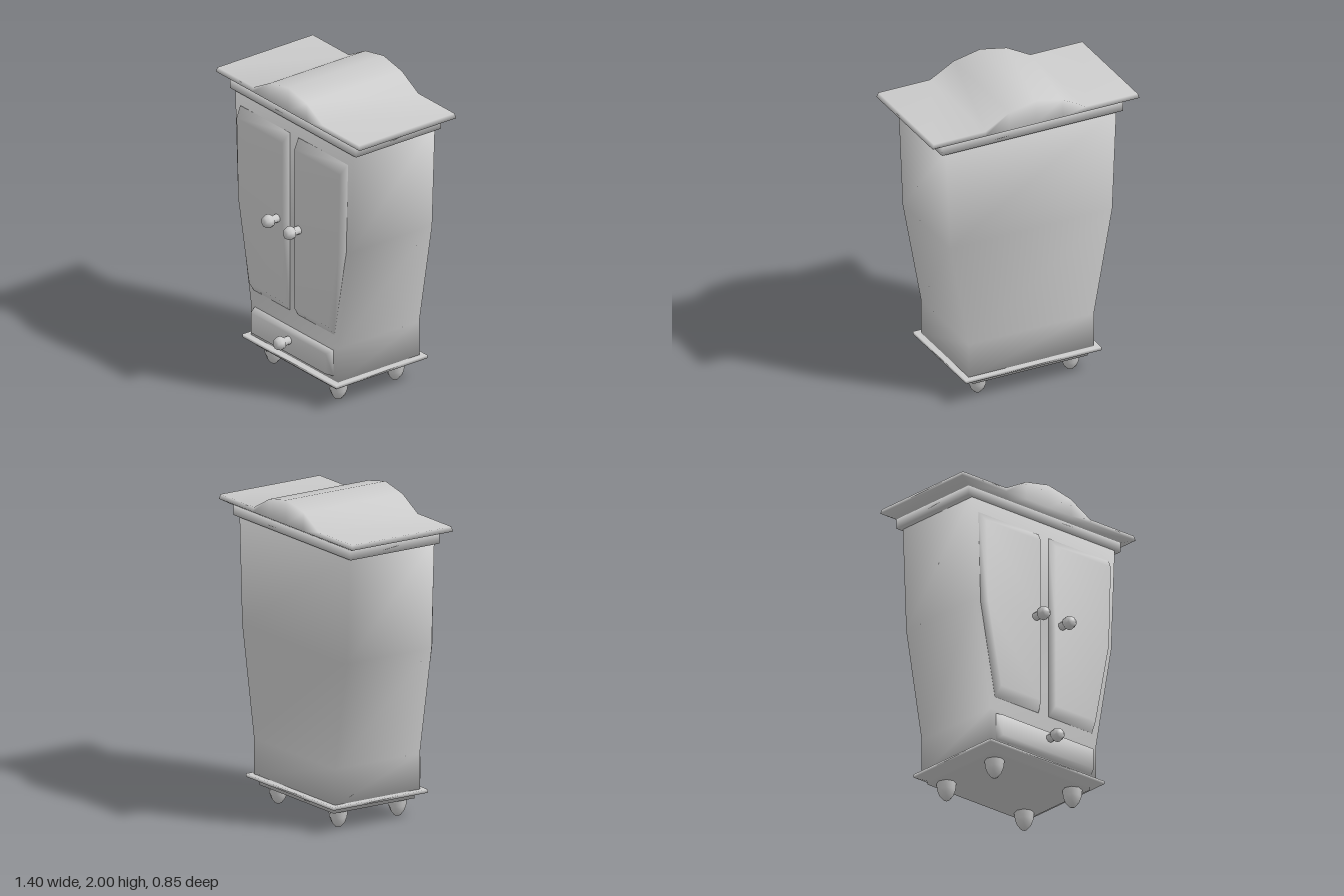
import * as THREE from 'three';

const material = new THREE.MeshStandardMaterial({ color: 0xcccccc });

// Skin a stack of matching loops (counter-clockwise seen from the last one) and cap both ends.
function loft(rings) {
  const n = rings[0].length, last = (rings.length - 1) * n, index = [];
  const quad = (a, b, c, d) => index.push(a, b, c, a, c, d);
  for (let k = 0; k < rings.length - 1; k++) {
    for (let i = 0; i < n; i++) {
      const j = (i + 1) % n, o = k * n;
      quad(o + i, o + j, o + n + j, o + n + i);
    }
  }
  for (let i = 0; i < n / 2 - 1; i++) {
    const p = [i, i + 1, n - 2 - i, n - 1 - i];
    quad(p[3], p[2], p[1], p[0]);
    quad(...p.map(v => v + last));
  }
  const g = new THREE.BufferGeometry();
  g.setAttribute('position', new THREE.Float32BufferAttribute(rings.flat(2), 3));
  g.setIndex(index);
  g.computeVertexNormals();
  return g;
}

// Horizontal rectangle: half width, height, front z, back z.
const rect = ([w, y, f, b]) => [[-w, y, f], [w, y, f], [w, y, b], [-w, y, b]];

export function createModel() {
  const model = new THREE.Group();
  const add = (name, geometry, x = 0, y = 0, z = 0) => {
    const mesh = new THREE.Mesh(geometry, material);
    mesh.name = name;
    mesh.position.set(x, y, z);
    model.add(mesh);
    return mesh;
  };

  // Cabinet body, flaring towards the top
  add('body', loft([
    [0.425, 0.17, 0.265, -0.36], [0.425, 0.4, 0.265, -0.36],
    [0.55, 1.09, 0.265, -0.36], [0.578, 1.77, 0.265, -0.36],
  ].map(rect)));

  // Base plinth with a projecting lip
  add('plinth', loft([
    [0.39, 0.112, 0.25, -0.345], [0.39, 0.135, 0.25, -0.345],
    [0.46, 0.155, 0.302, -0.395], [0.46, 0.175, 0.302, -0.395],
  ].map(rect)));

  // Cornice moulding under the crown
  add('cornice', loft([
    [0.615, 1.757, 0.275, -0.378], [0.615, 1.825, 0.275, -0.378],
  ].map(rect)));

  // Crown with a wave-shaped top
  const wave = [[-0.692, 1.876], [-0.34, 1.876], [-0.18, 1.964], [0, 2],
    [0.18, 1.964], [0.34, 1.876], [0.692, 1.876]];
  const crownRing = (width, front, back, level) => {
    const row = z => wave.map(([x, y]) => [x * width / 0.692, level ?? y, z]);
    return [...row(front), ...row(back).reverse()];
  };
  add('crown', loft([
    crownRing(0.615, 0.275, -0.378, 1.818),
    crownRing(0.702, 0.316, -0.425, 1.846),
    crownRing(0.692, 0.31, -0.42),
  ]));

  // Raised panels: outer outline on the body, smaller outline in front
  const panel = (outline, sx, sy, cx, cy) => loft([
    outline.map(([x, y]) => [x, y, 0.255]),
    outline.map(([x, y]) => [x, y, 0.268]),
    outline.map(([x, y]) => [cx + (x - cx) * sx, cy + (y - cy) * sy, 0.312]),
  ]);

  // Pair of doors
  const doorOutline = [[0.392, 0.485], [0.508, 1.08], [0.525, 1.67],
    [0.042, 1.67], [0.042, 1.08], [0.042, 0.485]];
  for (const s of [1, -1]) {
    const outline = doorOutline.map(([x, y]) => [x * s, y]);
    if (s < 0) outline.reverse();
    add(s > 0 ? 'leftDoor' : 'rightDoor', panel(outline, 0.92, 0.895, 0.26 * s, 1.08));
  }

  // Drawer front
  add('drawer', panel([[-0.385, 0.205], [0.385, 0.205], [0.385, 0.375], [-0.385, 0.375]],
    0.95, 0.78, 0, 0.29));

  // Round knobs on short stems
  const knobProfile = [[0.026, 0], [0.026, 0.04], [0.041, 0.055], [0.043, 0.078],
    [0.033, 0.102], [0.018, 0.112], [0, 0.115]].map(p => new THREE.Vector2(...p));
  const knobGeometry = new THREE.LatheGeometry(knobProfile, 8, Math.PI / 8);
  knobGeometry.rotateX(Math.PI / 2);
  add('leftDoorKnob', knobGeometry, 0.105, 1.09, 0.31);
  add('rightDoorKnob', knobGeometry, -0.105, 1.09, 0.31);
  add('drawerKnob', knobGeometry, 0.008, 0.315, 0.31);

  // Four turned feet
  const footProfile = [[0, 0], [0.02, 0.004], [0.042, 0.03], [0.055, 0.065],
    [0.061, 0.115]].map(p => new THREE.Vector2(...p));
  const footGeometry = new THREE.LatheGeometry(footProfile, 8);
  for (const x of [-0.315, 0.315]) {
    for (const z of [0.175, -0.26]) add('foot', footGeometry, x, 0, z);
  }

  return model;
}
